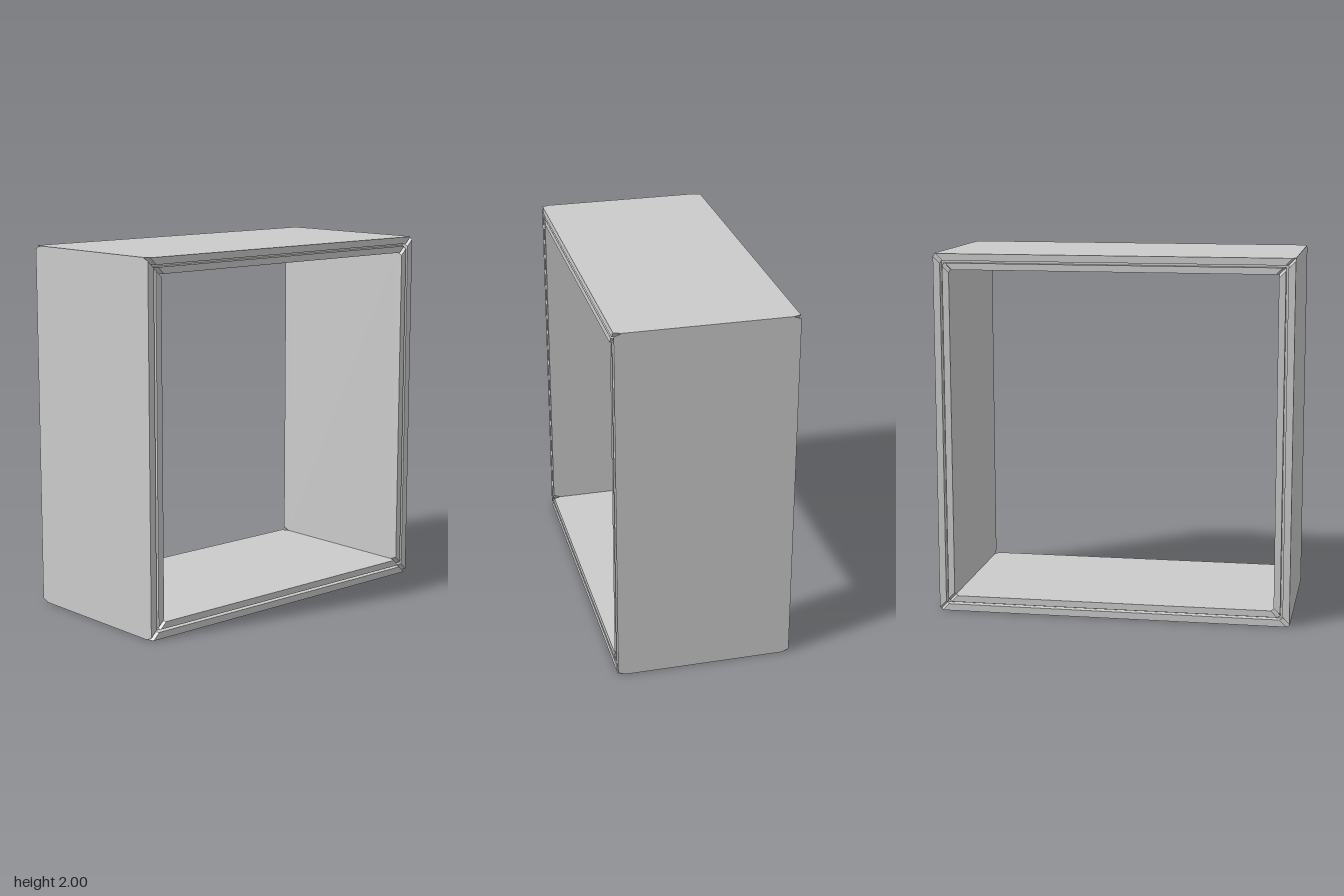
import * as THREE from 'three';

const W = 0.48, C = 0.44;            // half width, and where slots and corner cuts begin
const T = 0.087, G0 = 0.038, G1 = 0.051; // panel thickness, slot edges
const CUT = 0.016;                   // how far the panel corners are cut back

// Panel cross-section: [x, depth below the outer face], counter-clockwise
const profile = [
  [C, 0], [-C, 0], [-W, 0], [-W, G0], [-C, G0], [-C, G1], [-W, G1], [-W, T],
  [-C, T], [C, T], [W, T], [W, G1], [C, G1], [C, G0], [W, G0], [W, 0],
];
// End caps: core of the panel, then its four lips
const caps = [
  [0, 1, 4, 5, 8, 9, 12, 13],
  [1, 2, 3, 4], [5, 6, 7, 8], [9, 10, 11, 12], [13, 14, 15, 0],
];

// Mitred panel whose outer face lies at y = offset and runs along z
function panelGeometry(offset, halfLength) {
  const pos = [];
  const point = (i, end) => {
    const [x, d] = profile[i];
    const cut = Math.abs(x) > C ? CUT : 0;
    return [x, offset - d, end * (halfLength - d - cut)];
  };
  const fan = (pts) => {
    for (let k = 1; k < pts.length - 1; k++) pos.push(...pts[0], ...pts[k], ...pts[k + 1]);
  };
  profile.forEach((_, i) => {
    const j = (i + 1) % profile.length;
    fan([point(i, -1), point(j, -1), point(j, 1), point(i, 1)]);
  });
  for (const cap of caps) {
    fan(cap.map((i) => point(i, 1)));
    fan(cap.map((i) => point(i, -1)).reverse());
  }
  const geometry = new THREE.BufferGeometry();
  geometry.setAttribute('position', new THREE.Float32BufferAttribute(pos, 3));
  geometry.computeVertexNormals();
  return geometry;
}

export function createModel() {
  const group = new THREE.Group();
  group.name = 'openFrame';
  const material = new THREE.MeshStandardMaterial({ color: 0xcccccc, flatShading: true });
  const halfHeight = 1, halfDepth = 0.98;

  // Four panels turned around the x axis
  ['topPanel', 'frontPanel', 'bottomPanel', 'backPanel'].forEach((name, k) => {
    const geometry = k % 2
      ? panelGeometry(halfDepth, halfHeight)
      : panelGeometry(halfHeight, halfDepth);
    const panel = new THREE.Mesh(geometry, material);
    panel.name = name;
    panel.rotation.x = k * Math.PI / 2;
    panel.position.y = halfHeight;
    group.add(panel);
  });
  return group;
}
